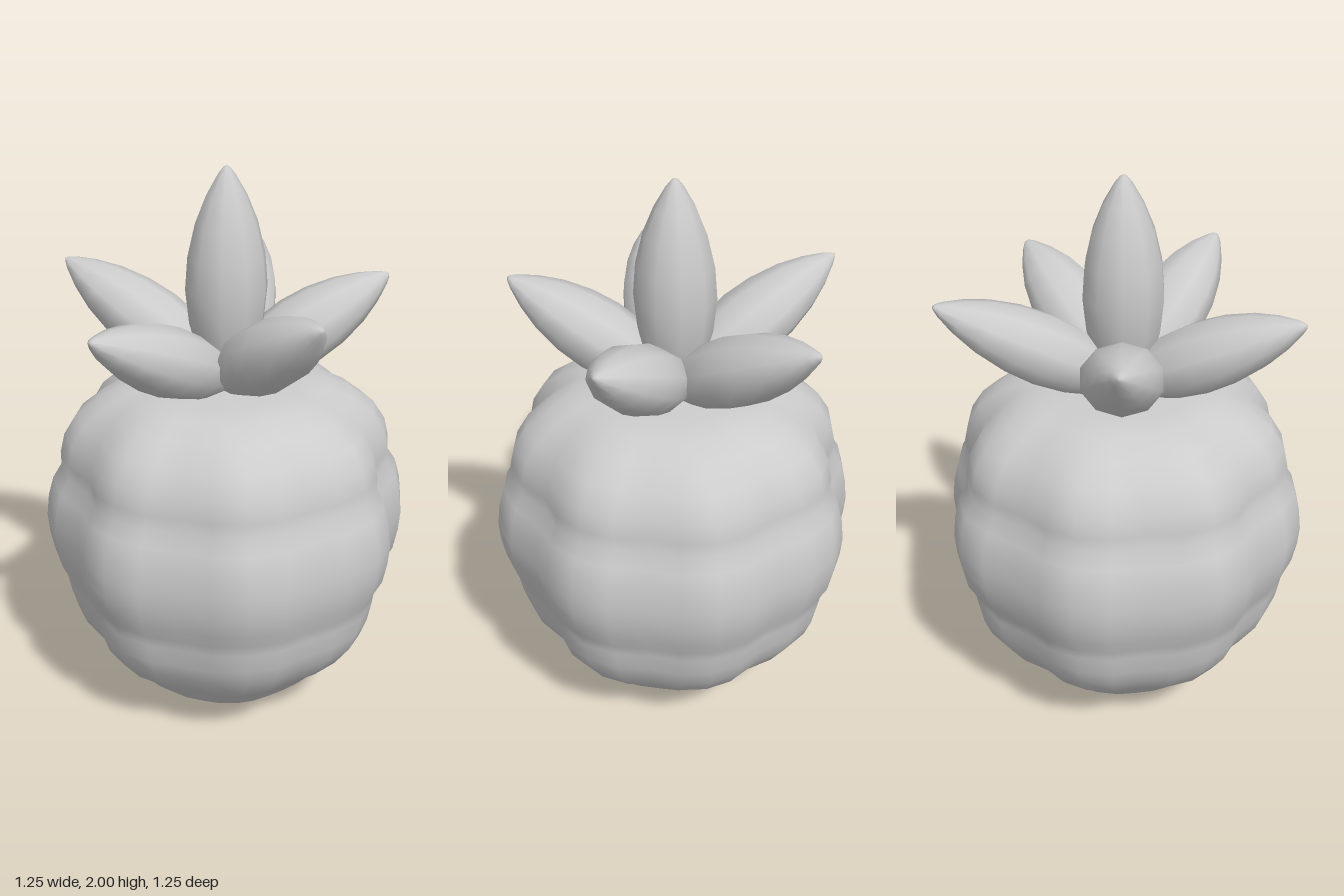
import * as THREE from 'three';
import { mergeVertices } from 'three/addons/utils/BufferGeometryUtils.js';

const material = new THREE.MeshStandardMaterial({ color: 0xcccccc, roughness: 0.8 });

// Turned shape with its seam welded; an optional rule moves the vertices
function turned(points, sides, rule) {
  const lathe = new THREE.LatheGeometry(points.map(([r, y]) => new THREE.Vector2(r, y)), sides);
  lathe.deleteAttribute('uv');
  lathe.deleteAttribute('normal');
  const geometry = mergeVertices(lathe, 1e-4);
  const pos = geometry.attributes.position;
  const v = new THREE.Vector3();
  if (rule) {
    for (let i = 0; i < pos.count; i++) {
      rule(v.fromBufferAttribute(pos, i));
      pos.setXYZ(i, v.x, v.y, v.z);
    }
  }
  geometry.computeVertexNormals();
  return geometry;
}

// Fruit: three soft rows, pinched into eight lobes
function createFruit() {
  const profile = [
    [0, 0.015], [0.04, 0.008], [0.1, 0], [0.17, 0.005], [0.23, 0.025], [0.33, 0.09],
    [0.4, 0.16], [0.43, 0.2], [0.5, 0.26], [0.56, 0.35], [0.585, 0.42], [0.6, 0.5],
    [0.605, 0.54], [0.635, 0.6], [0.65, 0.68], [0.655, 0.75], [0.645, 0.83], [0.625, 0.9],
    [0.592, 0.95], [0.592, 1.0], [0.575, 1.07], [0.53, 1.14], [0.45, 1.2], [0.36, 1.24],
    [0.26, 1.257], [0, 1.262],
  ];
  const geometry = turned(profile, 32, (v) => {
    const r = Math.hypot(v.x, v.z);
    const valley = 1 - Math.abs(Math.sin(4 * Math.atan2(v.x, v.z)));
    const pinch = 1 - 0.09 * valley * Math.min(1, (r / 0.5) ** 2);
    v.x *= pinch;
    v.z *= pinch;
    // rows sag slightly in the grooves
    v.y -= 0.03 * valley * Math.max(0, Math.sin((Math.PI * v.y) / 1.26));
  });
  const fruit = new THREE.Mesh(geometry, material);
  fruit.name = 'fruit';
  return fruit;
}

// Plump pointed leaf of unit length, standing on its base
const leafGeometry = turned([
  [0, 0], [0.05, 0.01], [0.095, 0.12], [0.13, 0.29], [0.142, 0.45], [0.133, 0.6],
  [0.106, 0.75], [0.069, 0.87], [0.03, 0.96], [0.012, 0.99], [0, 1],
], 10);

export function createModel() {
  const model = new THREE.Group();
  model.name = 'fruitWithLeafCrown';
  model.add(createFruit());

  const crown = new THREE.Group();
  crown.name = 'leafCrown';
  crown.position.y = 1.25;
  model.add(crown);

  const centreLeaf = new THREE.Mesh(leafGeometry, material);
  centreLeaf.name = 'centreLeaf';
  centreLeaf.scale.y = 0.75;
  crown.add(centreLeaf);

  // Five leaves spread around: x, z and height of each tip
  const tips = [
    [0.01, 0.57, 0.36], [0.565, 0.15, 0.33], [0.385, -0.505, 0.36],
    [-0.375, -0.505, 0.35], [-0.59, 0.2, 0.31],
  ];
  tips.forEach(([x, z, height], i) => {
    const reach = Math.hypot(x, z);
    const leaf = new THREE.Mesh(leafGeometry, material);
    leaf.name = `outerLeaf${i + 1}`;
    leaf.position.y = 0.01;
    leaf.rotation.order = 'YXZ';
    leaf.rotation.y = Math.atan2(x, z);
    leaf.rotation.x = Math.atan2(reach, height);
    leaf.scale.set(1, Math.hypot(reach, height), 0.85);
    crown.add(leaf);
  });

  return model;
}
